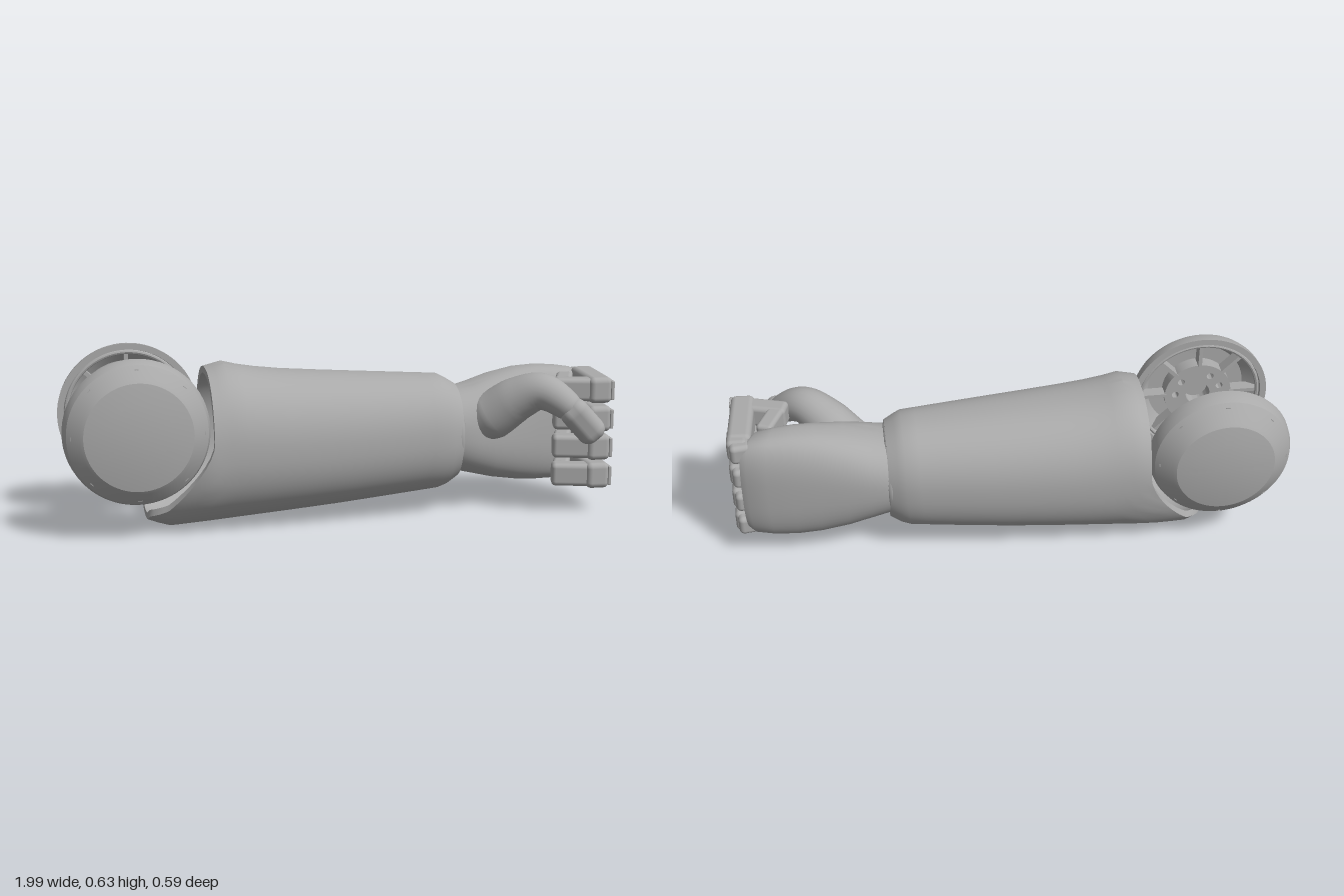
import * as THREE from 'three';
import { toCreasedNormals } from 'three/addons/utils/BufferGeometryUtils.js';
import { RoundedBoxGeometry } from 'three/addons/geometries/RoundedBoxGeometry.js';

const V = (x, y, z) => new THREE.Vector3(x, y, z);
const lerp = THREE.MathUtils.lerp;

// Linear lookup in [[x, value], ...]
function table(rows, x) {
  if (x <= rows[0][0]) return rows[0][1];
  for (let i = 1; i < rows.length; i++) {
    const [x0, a] = rows[i - 1], [x1, b] = rows[i];
    if (x <= x1) return lerp(a, b, (x - x0) / (x1 - x0));
  }
  return rows[rows.length - 1][1];
}

// Surface through rings of points; optionally joins last ring to first or caps the ends
function loft(rings, { closed = false, caps = false } = {}) {
  const n = rings[0].length, pos = [], idx = [];
  rings.forEach(r => r.forEach(p => pos.push(p.x, p.y, p.z)));
  const m = rings.length;
  for (let i = 0; i < (closed ? m : m - 1); i++) for (let j = 0; j < n; j++) {
    const a = i * n + j, b = i * n + (j + 1) % n;
    const c = ((i + 1) % m) * n + j, d = ((i + 1) % m) * n + (j + 1) % n;
    idx.push(a, c, b, b, c, d);
  }
  if (caps) [0, m - 1].forEach((k, e) => {
    const mid = V(0, 0, 0);
    rings[k].forEach(p => mid.addScaledVector(p, 1 / n));
    const id = pos.length / 3;
    pos.push(mid.x, mid.y, mid.z);
    for (let j = 0; j < n; j++) {
      const a = k * n + j, b = k * n + (j + 1) % n;
      idx.push(...(e ? [id, b, a] : [id, a, b]));
    }
  });
  const g = new THREE.BufferGeometry();
  g.setAttribute('position', new THREE.Float32BufferAttribute(pos, 3));
  g.setIndex(idx);
  return g;
}

// Superellipse direction
function around(j, n, power) {
  const a = j / n * Math.PI * 2, c = Math.cos(a), s = Math.sin(a), e = 2 / power;
  return [Math.sign(c) * Math.abs(c) ** e, Math.sign(s) * Math.abs(s) ** e];
}

export function createModel() {
  const grey = new THREE.MeshStandardMaterial({ color: 0xaaaaaa, side: THREE.DoubleSide });
  grey.name = 'plain grey';
  const model = new THREE.Group();
  model.name = 'mechanicalForearm';
  const add = (parent, name, geo, crease = 0.6) => {
    const mesh = new THREE.Mesh(crease ? toCreasedNormals(geo, crease) : geo, grey);
    mesh.name = name;
    parent.add(mesh);
    return mesh;
  };

  // Forearm shell: tapering sleeve with a curved elbow cut and a chamfered wrist
  const top = [[-0.485, 0.565], [-0.42, 0.582], [-0.34, 0.562], [-0.2, 0.545], [0, 0.53], [0.38, 0.505], [0.44, 0.468]];
  const bottom = [[-0.70, 0.03], [-0.64, 0.002], [-0.5, 0.013], [0, 0.05], [0.38, 0.085], [0.44, 0.125]];
  const front = [[-0.7, 0.2], [-0.5, 0.232], [-0.2, 0.215], [0.1, 0.188], [0.38, 0.155], [0.44, 0.128]];
  const back = [[-0.7, -0.24], [-0.5, -0.272], [-0.2, -0.258], [0.1, -0.238], [0.38, -0.208], [0.44, -0.18]];
  const elbowEdge = y => -0.485 - 1.28 * Math.max(0, 0.34 - Math.max(y, 0.035)) ** 1.48;
  const steps = [0, 0.03, 0.07, 0.13, 0.2, 0.3, 0.45, 0.6, 0.75, 0.88, 0.935, 0.965, 1];
  const shellRing = (t, scale) => Array.from({ length: 72 }, (_, j) => {
    const [c, s] = around(j, 72, 2.25);
    const x = lerp(elbowEdge(0.29 + 0.285 * s), 0.435, t);
    const hi = table(top, x), lo = table(bottom, x), f = table(front, x), b = table(back, x);
    return V(x, (hi + lo) / 2 + s * scale * (hi - lo) / 2, (f + b) / 2 + c * scale * (f - b) / 2);
  });
  add(model, 'forearmShell', loft([
    ...steps.map(t => shellRing(t, 1)),
    ...steps.slice().reverse().map(t => shellRing(t, 0.91)),
  ], { closed: true }), 0.5);
  const bulkhead = new THREE.CylinderGeometry(1, 1, 0.02, 48).rotateZ(Math.PI / 2).scale(1, 0.262, 0.236);
  add(model, 'elbowBulkhead', bulkhead.translate(-0.36, 0.292, -0.02));

  // Elbow covers: hollow caps with rim, ribs and a drilled hub
  function elbowCover(name, z, side, depth, faceRadius) {
    const g = new THREE.Group();
    g.name = name;
    const d = depth;
    const profile = [[0, d], [faceRadius * 0.6, d - 0.004], [faceRadius - 0.012, d - 0.015], [faceRadius, d - 0.023],
      [0.243, 0.054], [0.252, 0.03], [0.255, 0], [0.232, 0], [0.228, 0.04], [0.18, 0.075], [0, 0.08]];
    add(g, 'coverShell', new THREE.LatheGeometry(profile.map(p => new THREE.Vector2(...p)), 72).rotateX(Math.PI / 2), 0.3);
    add(g, 'innerRim', new THREE.TorusGeometry(0.222, 0.008, 8, 64).translate(0, 0, 0.012));
    const disc = new THREE.Shape().absarc(0, 0, 0.125, 0, Math.PI * 2);
    const hole = (x, y, r) => disc.holes.push(new THREE.Path().absarc(x, y, r, 0, Math.PI * 2, true));
    hole(0, 0, 0.045);
    for (let i = 0; i < 9; i++) {
      if (i % 3 === 2) continue;
      const a = i / 9 * Math.PI * 2;
      hole(0.085 * Math.cos(a), 0.085 * Math.sin(a), 0.013);
    }
    add(g, 'hub', new THREE.ExtrudeGeometry(disc, { depth: 0.05, bevelEnabled: false, curveSegments: 32 }).translate(0, 0, 0.025));
    for (let i = 0; i < 8; i++) {
      add(g, 'rib', new THREE.BoxGeometry(0.11, 0.014, 0.045).translate(0.175, 0, 0.045).rotateZ(i * Math.PI / 4));
    }
    g.position.set(-0.745, 0.38, z);
    if (side < 0) g.rotation.y = Math.PI;
    model.add(g);
  }
  elbowCover('frontElbowCover', 0.145, 1, 0.115, 0.2);
  elbowCover('backElbowCover', -0.175, -1, 0.123, 0.188);

  // Palm: [x, low y, high y, back z, front z, slant of the knuckle end]
  const hand = new THREE.Group();
  hand.name = 'hand';
  model.add(hand);
  const palm = [
    [0.36, 0.15, 0.45, -0.175, 0.115, 0], [0.44, 0.145, 0.455, -0.182, 0.125, 0], [0.5, 0.13, 0.47, -0.183, 0.115, 0],
    [0.58, 0.108, 0.495, -0.18, 0.09, 0], [0.68, 0.09, 0.515, -0.172, 0.06, 0], [0.77, 0.084, 0.52, -0.163, 0.045, 0.1],
    [0.86, 0.085, 0.515, -0.15, 0.035, 0.3], [0.93, 0.095, 0.505, -0.135, 0.025, 0.45], [0.95, 0.11, 0.49, -0.122, 0.01, 0.5],
  ];
  add(hand, 'palm', loft(palm.map(([x, lo, hi, b, f, slant], i) => Array.from({ length: 56 }, (_, j) => {
    const [c, s] = around(j, 56, 2.2 + i * 0.12);
    const z = (b + f) / 2 + c * (f - b) / 2;
    return V(x - slant * (z - b), (lo + hi) / 2 + s * (hi - lo) / 2, z);
  })), { caps: true }), 0.7);
  add(hand, 'wristCollar', new THREE.TorusGeometry(1, 0.08, 10, 56).rotateY(Math.PI / 2).scale(0.2, 0.156, 0.15).translate(0.425, 0.3, -0.026), 1);

  // Rounded link between two points of the xz plane
  function link(parent, name, [x0, z0], [x1, z1], y, height, thick) {
    const dx = x1 - x0, dz = z1 - z0;
    const geo = new RoundedBoxGeometry(Math.hypot(dx, dz), height, thick, 4, Math.min(height, thick) * 0.24);
    const mesh = add(parent, name, geo, 0);
    mesh.position.set((x0 + x1) / 2, y, (z0 + z1) / 2);
    mesh.rotation.y = -Math.atan2(dz, dx);
  }

  // Four curled fingers
  for (let i = 0; i < 4; i++) {
    const y = 0.143 + i * 0.106, f = new THREE.Group();
    f.name = 'finger';
    hand.add(f);
    link(f, 'knuckle', [0.938, -0.11], [0.95, -0.02], y, 0.074, 0.075);
    link(f, 'knuckleHood', [0.952, -0.085], [0.949, 0.01], y, 0.084, 0.075);
    link(f, 'proximalLink', [0.945, -0.06], [0.929, 0.2], y, 0.095, 0.086);
    link(f, 'jointPlate', [0.974, 0.155], [0.971, 0.203], y, 0.07, 0.012);
    link(f, 'middleLink', [0.955, 0.168], [0.775, 0.115], y, 0.084, 0.07);
    link(f, 'fingertip', [0.795, 0.15], [0.86, 0.0], y, 0.08, 0.06);
  }

  // Thumb: tapered sweep from the palm, with a rounded tip
  const thumb = new THREE.Group();
  thumb.name = 'thumb';
  hand.add(thumb);
  const path = new THREE.CatmullRomCurve3([
    V(0.47, 0.30, 0.0), V(0.56, 0.36, 0.06), V(0.64, 0.43, 0.115), V(0.71, 0.462, 0.165), V(0.78, 0.425, 0.215), V(0.82, 0.38, 0.235)]);
  const radii = [[0, 0.02], [0.08, 0.075], [0.25, 0.09], [0.45, 0.083], [0.6, 0.073], [0.8, 0.06], [0.94, 0.05], [1, 0.01]];
  const sweep = new THREE.TubeGeometry(path, 40, 1, 24), p = sweep.attributes.position;
  for (let i = 0; i < p.count; i++) {
    const t = Math.floor(i / 25) / 40, c = path.getPointAt(t), v = V(0, 0, 0).fromBufferAttribute(p, i);
    v.sub(c).multiplyScalar(table(radii, t)).add(c);
    p.setXYZ(i, v.x, v.y, v.z);
  }
  add(thumb, 'thumbBase', sweep, 1);
  const tip = add(thumb, 'thumbTip', new RoundedBoxGeometry(0.175, 0.105, 0.09, 5, 0.04), 0);
  tip.position.set(0.842, 0.362, 0.242);
  tip.rotation.set(0.15, -0.12, -0.82);
  return model;
}
